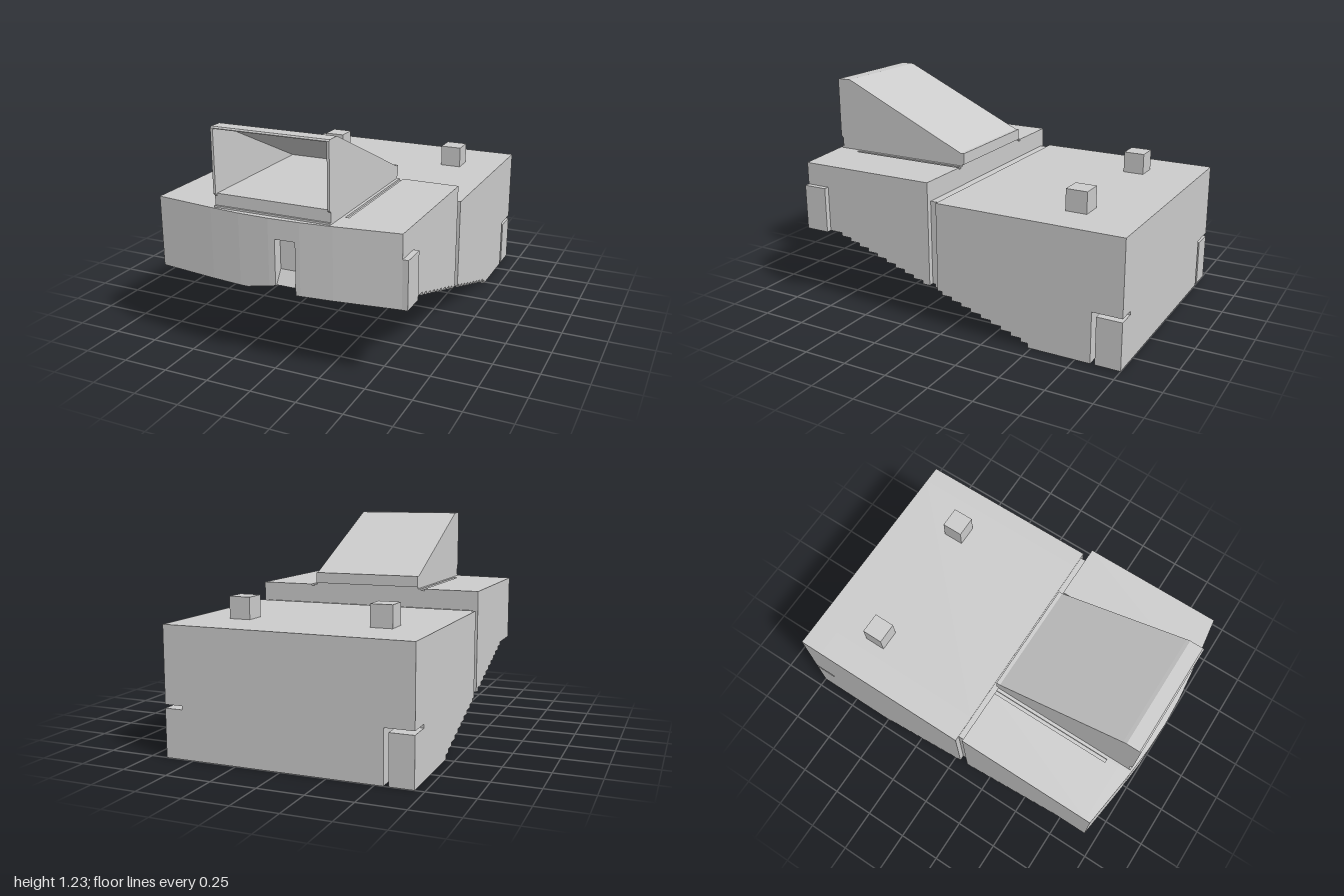
import * as THREE from 'three';

const grey = new THREE.MeshStandardMaterial({ color: 0xcccccc, flatShading: true });
const LEFT = 0.66, RIGHT = -0.70;

function add(parent, name, geometry) {
  const mesh = new THREE.Mesh(geometry, grey);
  mesh.name = name;
  parent.add(mesh);
  return mesh;
}

// Box given by its limits on each axis
function block(parent, name, x0, x1, y0, y1, z0, z1) {
  const g = new THREE.BoxGeometry(x1 - x0, y1 - y0, z1 - z0);
  g.translate((x0 + x1) / 2, (y0 + y1) / 2, (z0 + z1) / 2);
  return add(parent, name, g);
}

// Side profile of [z, y] points, extruded across x
function slab(parent, name, points, x0, x1) {
  const shape = new THREE.Shape(points.map(([z, y]) => new THREE.Vector2(z, y)));
  const g = new THREE.ExtrudeGeometry(shape, { depth: x1 - x0, bevelEnabled: false });
  g.rotateY(-Math.PI / 2).translate(x1, 0, 0);
  return add(parent, name, g);
}

// Height of the stepped underside at depth z
function underside(z) {
  if (z < -0.48) return 0;
  if (z < -0.44) return 0.025;
  return 0.045 + 0.02 * Math.min(19, Math.floor((z + 0.44) / 0.0605));
}

// Points along the stepped underside from z0 to z1
function steps(z0, z1) {
  const edges = [-0.48, -0.44];
  for (let k = 1; k < 20; k++) edges.push(-0.44 + 0.0605 * k);
  const pts = [[z0, underside(z0)]];
  for (const z of edges) {
    if (z > z0 && z < z1) pts.push([z, underside(z - 0.001)], [z, underside(z + 0.001)]);
  }
  pts.push([z1, underside(z1)]);
  return pts;
}

// Bowed front face seen from above
const bow = [[RIGHT, 0.93], [-0.36, 0.975], [-0.19, 0.992], [-0.02, 0.998],
  [0.15, 0.992], [0.32, 0.975], [LEFT, 0.93]];
function frontZ(x) {
  for (let i = 1; i < bow.length; i++) {
    const [xa, za] = bow[i - 1], [xb, zb] = bow[i];
    if (x <= xb) return za + (zb - za) * (x - xa) / (xb - xa);
  }
  return 0.93;
}

// Upright panel whose front follows the bow and whose lower edge may slope
function column(parent, name, x0, x1, low, top, zBack = 0.9) {
  const g = new THREE.BoxGeometry(1, 1, 1);
  const p = g.attributes.position;
  for (let i = 0; i < p.count; i++) {
    const x = p.getX(i) < 0 ? x0 : x1;
    p.setXYZ(i, x, p.getY(i) < 0 ? low(x) : top, p.getZ(i) < 0 ? zBack : frontZ(x));
  }
  g.computeVertexNormals();
  return add(parent, name, g);
}

export function createModel() {
  const model = new THREE.Group();
  model.name = 'steppedHousing';
  const group = (name) => {
    const g = new THREE.Group();
    g.name = name;
    model.add(g);
    return g;
  };

  // Rear housing, split where the corner slots cut into it
  const rear = group('rearHousing');
  const topRear = 0.705, seam = 0.07;
  slab(rear, 'rearCore', [[-1, 0], ...steps(-0.99, seam), [seam, topRear], [-1, topRear]], -0.545, 0.56);
  slab(rear, 'rearLeftSide', [[-0.835, 0], ...steps(-0.83, seam), [seam, topRear],
    [-1, topRear], [-1, 0.285], [-0.835, 0.285]], 0.56, LEFT);
  block(rear, 'rearLeftFoot', 0.56, LEFT, 0, 0.265, -1, -0.86);
  slab(rear, 'rearRightSide', [...steps(-0.865, seam), [seam, topRear], [-0.865, topRear]], RIGHT, -0.545);
  block(rear, 'rearRightCorner', RIGHT, -0.545, 0.285, topRear, -1, -0.865);
  block(rear, 'rearRightFoot', RIGHT, -0.57, 0, 0.265, -1, -0.865);
  for (const x of [-0.42, 0.38]) block(rear, 'topPeg', x - 0.06, x + 0.06, 0.70, 0.825, -0.70, -0.58);

  // Narrow neck between the housings
  slab(model, 'neck', [...steps(seam, 0.12), [0.12, 0.70], [seam, 0.70]], -0.67, 0.63);

  // Front housing with two shallow grooves in its top
  const front = group('frontHousing');
  slab(front, 'frontCore', [...steps(0.12, 0.9), [0.9, 0.80], [0.12, 0.80]], RIGHT, LEFT);
  for (const [a, b] of [[RIGHT, -0.38], [-0.36, 0.32], [0.34, LEFT]]) {
    block(front, 'topPlate', a, b, 0.80, 0.81, 0.12, 0.9);
  }
  for (const a of [-0.38, 0.32]) block(front, 'grooveEnd', a, a + 0.02, 0.80, 0.81, 0.83, 0.9);

  // Bowed front panels: sloping lower lip and an open niche
  const n0 = 0.015, n1 = 0.125;
  const lip = (x) => (x > -0.15 && x <= n0 ? 0.425 + 0.035 * (x + 0.15) / (n0 + 0.15) : 0.425);
  const xs = [RIGHT, -0.36, -0.19, -0.15, -0.02, n0, n1, 0.15, 0.32, LEFT];
  for (let i = 1; i < xs.length; i++) {
    const niche = xs[i - 1] === n0;
    const low = niche ? () => 0.705 : xs[i - 1] >= n1 ? () => 0.425 : lip;
    column(front, niche ? 'nicheHead' : 'frontPanel', xs[i - 1], xs[i], low, 0.81);
  }
  block(front, 'nicheBack', n0, n1, 0.46, 0.705, 0.9, 0.94);
  slab(front, 'nicheRamp', [[0.94, 0.46], [0.985, 0.46], [0.94, 0.53]], n0, n1);
  block(front, 'sideGrip', LEFT, 0.69, 0.425, 0.683, 0.79, 0.93);

  // Hood: raised base, thin cheeks, sloping roof, open to the front
  const hood = group('hood');
  const h0 = -0.342, h1 = 0.303, wall = 0.013;
  block(hood, 'hoodPlinth', h0, h1, 0.81, 0.82, 0.12, 0.965);
  block(hood, 'hoodFloor', h0, h1, 0.82, 0.883, 0.11, 0.955);
  const cheek = [[0.11, 0.87], [0.955, 0.87], [0.968, 0.883], [0.968, 1.22],
    [0.96, 1.227], [0.885, 1.227], [0.865, 1.219], [0.11, 0.873]];
  slab(hood, 'hoodCheek', cheek, h0, h0 + wall);
  slab(hood, 'hoodCheek', cheek, h1 - wall, h1);
  slab(hood, 'hoodRoof', [[0.11, 0.873], [0.14, 0.873], [0.87, 1.207], [0.89, 1.216], [0.968, 1.216],
    [0.968, 1.22], [0.96, 1.227], [0.885, 1.227], [0.865, 1.219]], h0 + wall, h1 - wall);
  return model;
}
